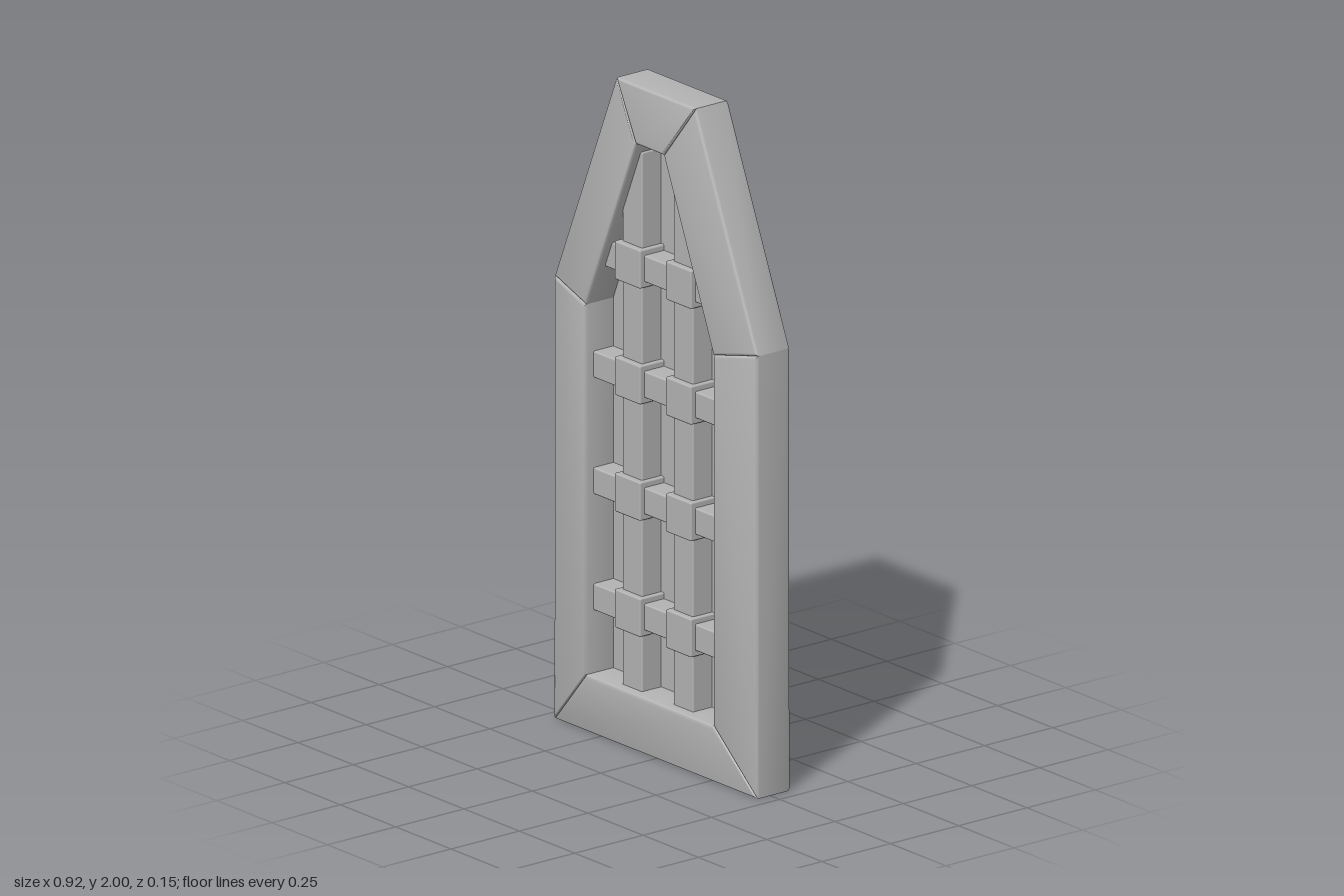
import * as THREE from 'three';
import { toCreasedNormals } from 'three/addons/utils/BufferGeometryUtils.js';
import { RoundedBoxGeometry } from 'three/addons/geometries/RoundedBoxGeometry.js';

const BACK = -0.073, RIM = 0.05, RISE = 0.024, BEVEL = 0.01;

// Matching corners of the frame's outer and inner outlines, counter-clockwise
const outer = [[-0.458, 0], [0.458, 0], [0.458, 1.33], [0.178, 2], [-0.178, 2], [-0.458, 1.33]];
const inner = [[-0.288, 0.18], [0.288, 0.18], [0.288, 1.293], [0.063, 1.835], [-0.063, 1.835], [-0.288, 1.293]];

const toShape = pts => new THREE.Shape(pts.map(([x, y]) => new THREE.Vector2(x, y)));

// Mitred beam with soft edges; its front face rises towards the inner edge
function beamGeometry(a, b, c, d) {
  const geo = new THREE.ExtrudeGeometry(toShape([a, b, c, d]), {
    depth: RIM - BACK - 2 * BEVEL, bevelEnabled: true, bevelSegments: 3,
    bevelSize: BEVEL, bevelThickness: BEVEL, bevelOffset: -BEVEL,
  });
  geo.translate(0, 0, BACK + BEVEL);
  const length = Math.hypot(b[0] - a[0], b[1] - a[1]);
  const nx = -(b[1] - a[1]) / length, ny = (b[0] - a[0]) / length;
  const width = (c[0] - a[0]) * nx + (c[1] - a[1]) * ny;
  const p = geo.attributes.position;
  for (let i = 0; i < p.count; i++) {
    if (p.getZ(i) < 0) continue;
    const t = ((p.getX(i) - a[0]) * nx + (p.getY(i) - a[1]) * ny) / width;
    p.setZ(i, p.getZ(i) + RISE * THREE.MathUtils.clamp(t, 0, 1));
  }
  return toCreasedNormals(geo, 0.75);
}

export function createModel() {
  const model = new THREE.Group();
  model.name = 'latticeWindow';
  const grey = new THREE.MeshStandardMaterial({ color: 0xb4b4b4 });
  grey.name = 'grey';

  const add = (name, geo, parent) => {
    const mesh = new THREE.Mesh(geo, grey);
    mesh.name = name;
    parent.add(mesh);
    return mesh;
  };
  const group = name => {
    const g = new THREE.Group();
    g.name = name;
    model.add(g);
    return g;
  };
  // Soft-edged box given by its extents
  const box = (name, parent, x0, x1, y0, y1, z0, z1) =>
    add(name, new RoundedBoxGeometry(x1 - x0, y1 - y0, z1 - z0, 2, 0.005), parent)
      .position.set((x0 + x1) / 2, (y0 + y1) / 2, (z0 + z1) / 2);

  // Frame of six mitred beams
  const frame = group('frame');
  const names = ['bottomBeam', 'leftBeam', 'leftSlopingBeam', 'topBeam', 'rightSlopingBeam', 'rightBeam'];
  names.forEach((name, i) => {
    const j = (i + 1) % 6;
    add(name, beamGeometry(outer[i], outer[j], inner[j], inner[i]), frame);
  });

  // Pane filling the back of the frame, its edges tucked into the beams
  const paneOutline = inner.map(([x, y], i) => [
    x + (outer[i][0] - x) * 0.1, y + (outer[i][1] - y) * 0.1]);
  const pane = new THREE.ExtrudeGeometry(toShape(paneOutline), { depth: 0.04, bevelEnabled: false });
  pane.translate(0, 0, -0.07);
  add('pane', pane, model);

  // Lattice bars with a block at every crossing
  const lattice = group('lattice');
  const columns = [-0.117, 0.113];
  const rows = [0.408, 0.757, 1.107, 1.455];
  for (const x of columns) {
    box('uprightBar', lattice, x - 0.045, x + 0.045, 0.16, 1.8, -0.05, 0.04);
  }
  rows.forEach((y, i) => {
    const half = i === 3 ? 0.26 : 0.3;
    box('crossBar', lattice, -half, half, y - 0.04, y + 0.04, -0.05, 0.042);
    for (const x of columns) {
      box('crossingBlock', lattice, x - 0.058, x + 0.058, y - 0.058, y + 0.058, -0.071, 0.058);
    }
  });
  return model;
}
